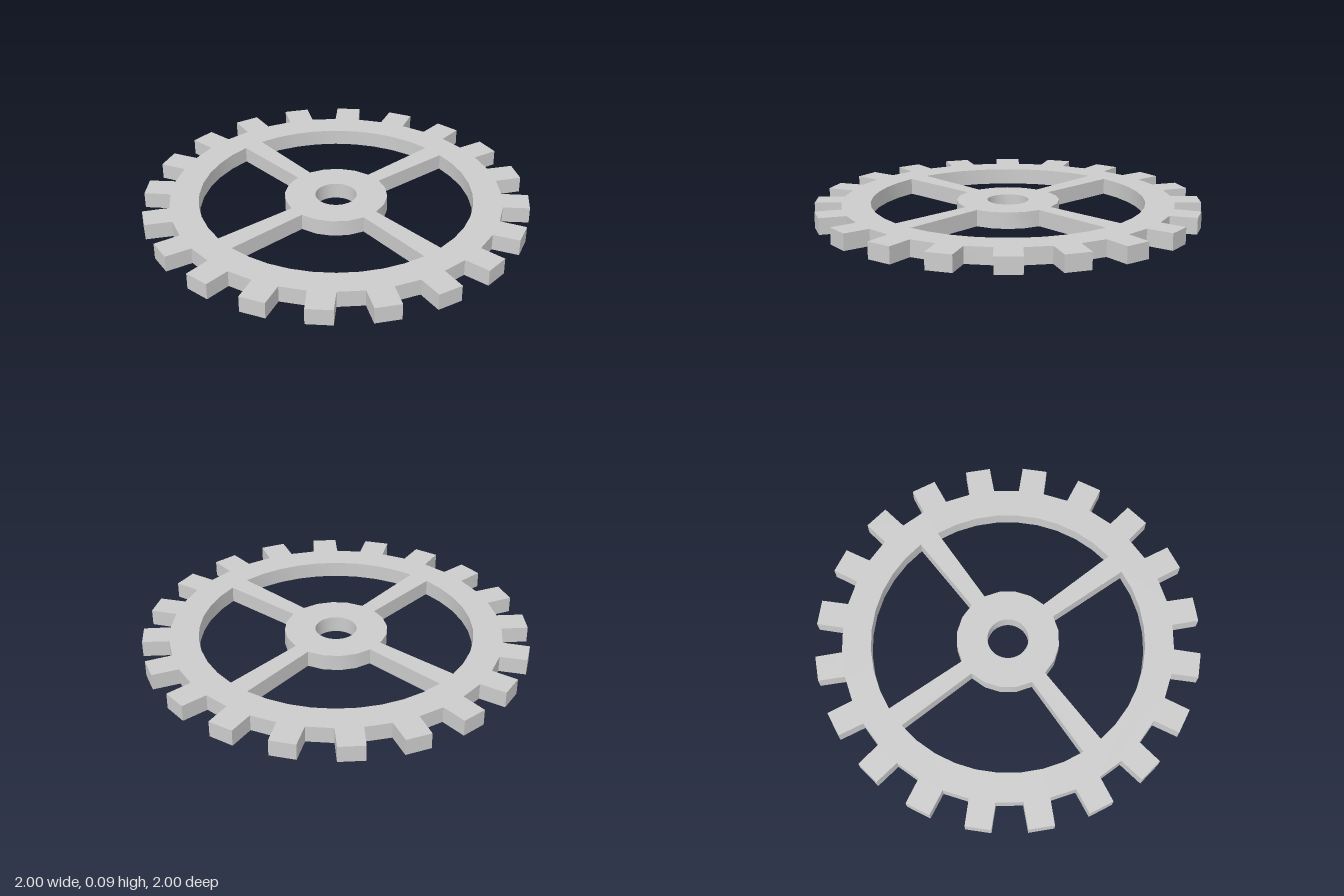
import * as THREE from 'three';
import { toCreasedNormals } from 'three/addons/utils/BufferGeometryUtils.js';

const THICKNESS = 0.085;
const TEETH = 20, ROOT_R = 0.862, TIP_R = 1.0;
const SPOKES = 4, RIM_INNER_R = 0.712, HUB_R = 0.267, BORE_R = 0.107;

// Point at a radius and a clockwise angle in degrees from the back
function polar(radius, degrees) {
  const a = THREE.MathUtils.degToRad(degrees);
  return new THREE.Vector2(radius * Math.sin(a), radius * Math.cos(a));
}

// Rim outline: each tooth fills half its pitch and tapers slightly to the tip
function toothedOutline() {
  const points = [];
  const pitch = 360 / TEETH;
  for (let i = 0; i < TEETH; i++) {
    const a = i * pitch;
    points.push(polar(ROOT_R, a), polar(TIP_R, a + 0.7), polar(TIP_R, a + 8.3), polar(ROOT_R, a + 9));
  }
  // Counter-clockwise outline, opposite to the clockwise holes
  return new THREE.Shape(points.reverse());
}

// Opening between two spokes: rim arc out, hub facets back
function windowHole(start) {
  const points = [];
  for (let a = 0; a <= 81; a += 9) points.push(polar(RIM_INNER_R, start + a));
  for (let a = 76.5; a >= 4.5; a -= 18) points.push(polar(HUB_R, start + a));
  return new THREE.Path(points);
}

export function createModel() {
  const group = new THREE.Group();
  group.name = 'spokedGear';

  const shape = toothedOutline();
  for (let i = 0; i < SPOKES; i++) shape.holes.push(windowHole(i * 360 / SPOKES));

  // Round axle bore through the hub
  const bore = [];
  for (let i = 0; i < 40; i++) bore.push(polar(BORE_R, i * 9));
  shape.holes.push(new THREE.Path(bore));

  // Lay the extruded wheel flat on the ground
  const geometry = new THREE.ExtrudeGeometry(shape, { depth: THICKNESS, bevelEnabled: false });
  geometry.rotateX(-Math.PI / 2);

  const gear = new THREE.Mesh(
    toCreasedNormals(geometry, 0.35),
    new THREE.MeshStandardMaterial({ color: 0xcccccc })
  );
  gear.name = 'gearWheel';
  group.add(gear);
  return group;
}
